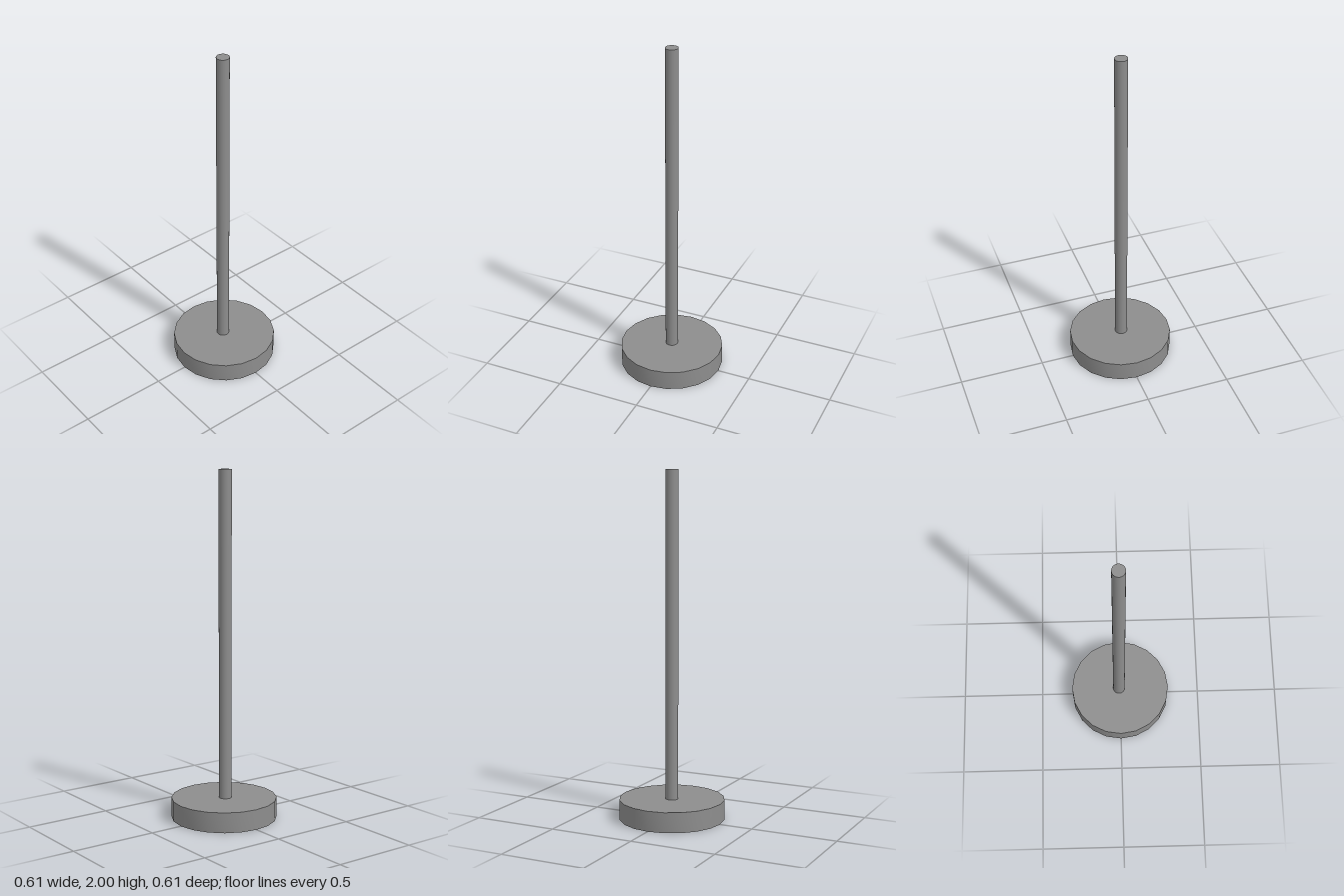
import * as THREE from 'three';
import { toCreasedNormals } from 'three/addons/utils/BufferGeometryUtils.js';

export function createModel() {
  const group = new THREE.Group();
  const material = new THREE.MeshStandardMaterial({ color: 0x8d8d8d });
  const radius = 0.305, height = 0.117, bore = 0.025;

  // Twenty-sided disc with a small bore through its centre
  const profile = [[bore, 0], [radius, 0], [radius, height], [bore, height], [bore, 0]]
    .map(([r, y]) => new THREE.Vector2(r, y));
  const base = new THREE.Mesh(toCreasedNormals(new THREE.LatheGeometry(profile, 20), 0.6), material);
  base.name = 'base';
  group.add(base);

  // Upright round pole, slightly off centre
  const length = 2 - height;
  const pole = new THREE.Mesh(new THREE.CylinderGeometry(0.0365, 0.0365, length, 48), material);
  pole.name = 'pole';
  pole.position.set(-0.007, height + length / 2, 0.003);
  group.add(pole);

  return group;
}
